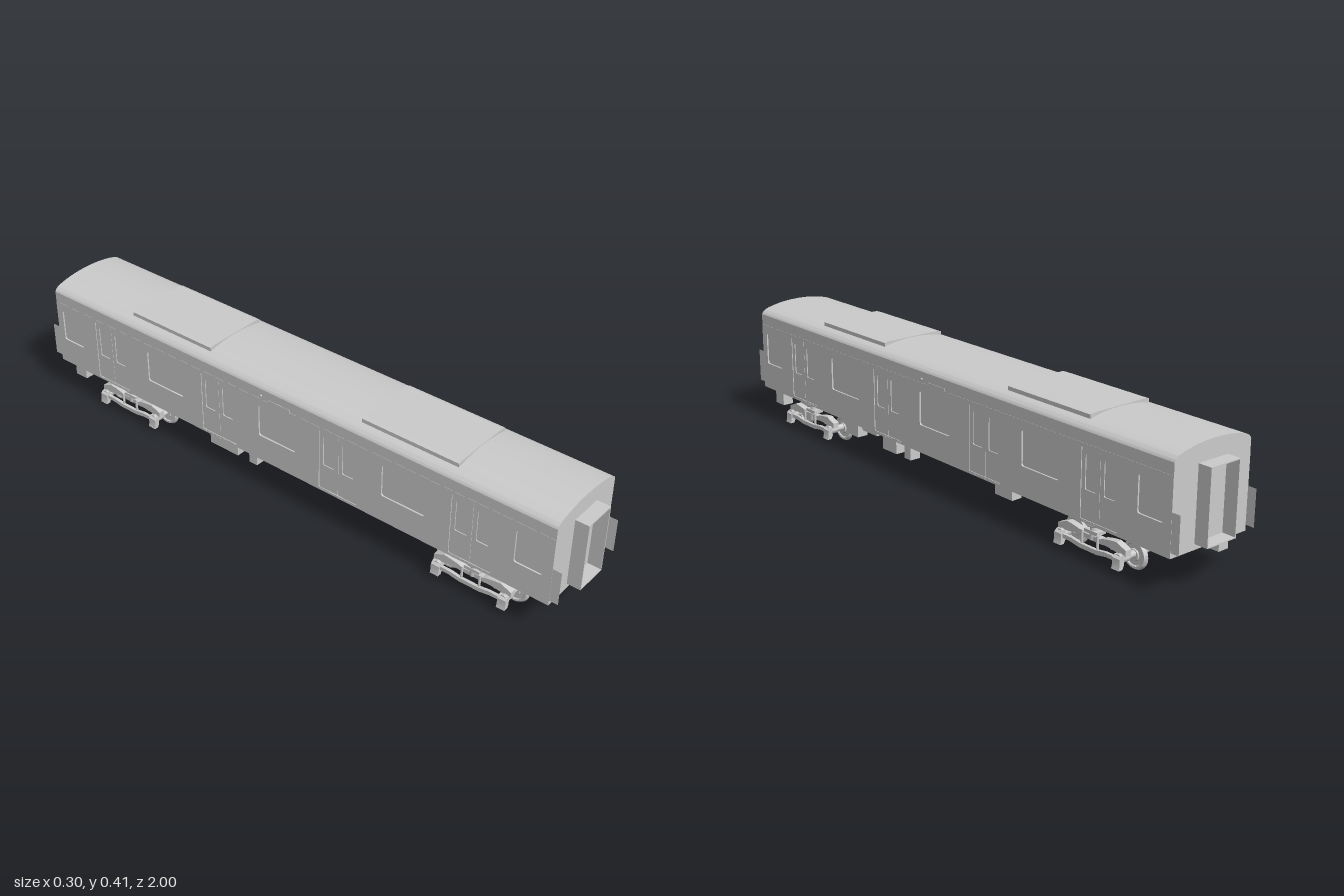
import * as THREE from 'three';
import { toCreasedNormals } from 'three/addons/utils/BufferGeometryUtils.js';

const grey = new THREE.MeshStandardMaterial({ color: 0xcccccc });
const thin = new THREE.MeshStandardMaterial({ color: 0xcccccc, side: THREE.DoubleSide });

function add(parent, name, geometry, material = grey) {
  const mesh = new THREE.Mesh(geometry, material);
  mesh.name = name;
  parent.add(mesh);
}

// Box given by its limits on each axis
function box(x0, x1, y0, y1, z0, z1) {
  return new THREE.BoxGeometry(x1 - x0, y1 - y0, z1 - z0)
    .translate((x0 + x1) / 2, (y0 + y1) / 2, (z0 + z1) / 2);
}

const vectors = (points) => points.map(([a, b]) => new THREE.Vector2(a, b));
const polygon = (points) => new THREE.Shape(vectors(points));
const extrude = (shape, depth) => new THREE.ExtrudeGeometry(shape, { depth, bevelEnabled: false, curveSegments: 10 });

// Outline in (z, y), extruded between two x positions
const slab = (shape, x0, x1) => extrude(shape, x1 - x0).rotateY(-Math.PI / 2).translate(x1, 0, 0);

// Outline in (x, y), extruded between two z positions
const section = (shape, z0, z1) => toCreasedNormals(extrude(shape, z1 - z0).translate(0, 0, z0), 0.4);

// Rectangle with rounded corners
function roundedRect(path, a0, a1, b0, b1, r) {
  path.moveTo(a0 + r, b0);
  path.lineTo(a1 - r, b0);
  path.quadraticCurveTo(a1, b0, a1, b0 + r);
  path.lineTo(a1, b1 - r);
  path.quadraticCurveTo(a1, b1, a1 - r, b1);
  path.lineTo(a0 + r, b1);
  path.quadraticCurveTo(a0, b1, a0, b1 - r);
  path.lineTo(a0, b0 + r);
  path.quadraticCurveTo(a0, b0, a0 + r, b0);
  return path;
}

// Body core with the curved roof
function makeBody() {
  const s = new THREE.Shape();
  s.moveTo(-0.14, 0.118);
  s.lineTo(0.14, 0.118);
  s.lineTo(0.14, 0.342);
  s.lineTo(0.1445, 0.342);
  s.lineTo(0.1445, 0.377);
  s.quadraticCurveTo(0.14, 0.388, 0.125, 0.394);
  s.quadraticCurveTo(0.07, 0.411, 0, 0.411);
  s.quadraticCurveTo(-0.07, 0.411, -0.125, 0.394);
  s.quadraticCurveTo(-0.14, 0.388, -0.1445, 0.377);
  s.lineTo(-0.1445, 0.342);
  s.lineTo(-0.14, 0.342);
  s.closePath();
  return section(s, -0.957, 0.957);
}

// One side wall with windows, sliding doors and small fittings
function makeSide() {
  const side = new THREE.Group();
  side.name = 'sideWall';
  const skin = polygon([[-0.957, 0.118], [0.957, 0.118], [0.957, 0.342], [-0.957, 0.342]]);
  const windows = [[0.886, 0.045], [0.463, 0.076], [0, 0.072], [-0.467, 0.076], [-0.883, 0.045]];
  for (const [z, half] of windows) {
    skin.holes.push(roundedRect(new THREE.Path(), z - half, z + half, 0.207, 0.315, 0.008));
  }
  for (const z of [0.703, 0.235, -0.233, -0.7]) {
    skin.holes.push(roundedRect(new THREE.Path(), z - 0.071, z + 0.071, 0.127, 0.332, 0.004));
    for (const dir of [-1, 1]) {
      const c = z + dir * 0.0355;
      const leaf = roundedRect(new THREE.Shape(), c - 0.035, c + 0.035, 0.127, 0.332, 0.002);
      leaf.holes.push(roundedRect(new THREE.Path(), c - 0.021, c + 0.021, 0.212, 0.315, 0.006));
      add(side, 'doorLeaf', slab(leaf, 0.139, 0.143));
    }
    // Row of small studs below the doors
    for (let i = -4; i <= 4; i++) {
      add(side, 'sillStud', box(0.144, 0.146, 0.121, 0.124, z + i * 0.015 - 0.003, z + i * 0.015 + 0.003));
    }
  }
  add(side, 'sideSkin', slab(skin, 0.139, 0.1452));
  add(side, 'indicator', box(0.144, 0.146, 0.338, 0.35, -0.05, 0.03));
  add(side, 'signalLamp', new THREE.SphereGeometry(0.004, 12, 8).translate(0.1445, 0.354, 0.06));
  // Thin guard plates reaching past both ends
  for (const dir of [-1, 1]) {
    const plate = new THREE.PlaneGeometry(0.03, 0.11).rotateY(Math.PI / 2);
    add(side, 'cornerPlate', plate.translate(0.1445, 0.19, dir * 0.97), thin);
  }
  return side;
}

// Running gear of one side of a bogie, on +x, centred on z = 0
function makeBogieSide() {
  const g = new THREE.Group();
  g.name = 'bogieSide';
  // Swan-neck side frame
  const frame = new THREE.Shape();
  frame.moveTo(-0.13, 0.058);
  frame.lineTo(-0.09, 0.062);
  frame.quadraticCurveTo(-0.06, 0.068, -0.04, 0.064);
  frame.lineTo(0.04, 0.064);
  frame.quadraticCurveTo(0.06, 0.068, 0.09, 0.062);
  frame.lineTo(0.13, 0.058);
  frame.lineTo(0.13, 0.076);
  frame.lineTo(0.095, 0.09);
  frame.quadraticCurveTo(0.05, 0.086, 0.035, 0.078);
  frame.lineTo(-0.035, 0.078);
  frame.quadraticCurveTo(-0.05, 0.086, -0.095, 0.09);
  frame.lineTo(-0.13, 0.076);
  frame.closePath();
  add(g, 'sideFrame', slab(frame, 0.104, 0.125));
  const bar = polygon([[-0.11, 0.042], [-0.07, 0.042], [-0.035, 0.036], [0.035, 0.036], [0.07, 0.042],
    [0.11, 0.042], [0.11, 0.054], [0.065, 0.054], [0.03, 0.049], [-0.03, 0.049], [-0.065, 0.054], [-0.11, 0.054]]);
  add(g, 'lowerBeam', slab(bar, 0.128, 0.138));
  // Air spring and bolster end
  const spring = vectors([[0, 0.1], [0.018, 0.104], [0.026, 0.106], [0.03, 0.111], [0.028, 0.117], [0, 0.118]]);
  add(g, 'airSpring', new THREE.LatheGeometry(spring, 24).translate(0.11, 0, 0));
  add(g, 'springPost', new THREE.CylinderGeometry(0.011, 0.014, 0.04, 16).translate(0.114, 0.085, 0));
  add(g, 'bolsterEnd', box(0.095, 0.128, 0.083, 0.093, -0.025, 0.025));
  for (const dir of [-1, 1]) {
    const z = dir * 0.1125;
    add(g, 'axleBox', new THREE.CylinderGeometry(0.014, 0.014, 0.034, 12).rotateZ(Math.PI / 2).translate(0.119, 0.05, z));
    // Cover flaring out towards its foot
    const cover = polygon([[0.126, 0.062], [0.126, 0.034], [0.132, 0.022], [0.146, 0.022], [0.143, 0.034], [0.143, 0.054], [0.134, 0.062]]);
    add(g, 'axleBoxCover', section(cover, z - 0.014, z + 0.014));
    add(g, 'coilSpring', new THREE.CylinderGeometry(0.009, 0.009, 0.025, 12).translate(0.115, 0.074, dir * 0.075));
    add(g, 'damper', new THREE.CylinderGeometry(0.004, 0.004, 0.045, 8).translate(0.13, 0.065, dir * 0.03));
  }
  return g;
}

function makeBogie(z) {
  const bogie = new THREE.Group();
  bogie.name = 'bogie';
  const left = makeBogieSide();
  const right = makeBogieSide();
  right.rotation.y = Math.PI;
  bogie.add(left, right);
  // Wheel profile with a coned tread, widest at the inner face
  const profile = vectors([[0.008, -0.005], [0.044, -0.005], [0.044, -0.002], [0.039, 0.006], [0.033, 0.006], [0.03, 0.002], [0.018, 0.002], [0.016, 0.006], [0.008, 0.006]]);
  for (const az of [-0.1125, 0.1125]) {
    add(bogie, 'axle', new THREE.CylinderGeometry(0.0105, 0.0105, 0.25, 16).rotateZ(Math.PI / 2).translate(0, 0.05, az));
    for (const dir of [-1, 1]) {
      const wheel = toCreasedNormals(new THREE.LatheGeometry(profile, 24), 0.5).rotateZ(-dir * Math.PI / 2);
      add(bogie, 'wheel', wheel.translate(dir * 0.071, 0.046, az));
    }
  }
  bogie.position.z = z;
  return bogie;
}

export function createModel() {
  const model = new THREE.Group();
  model.name = 'railCarriage';
  add(model, 'body', makeBody());

  const left = makeSide();
  const right = makeSide();
  right.rotation.y = Math.PI;
  model.add(left, right);

  // Flat roof units with bevelled edges
  const cover = polygon([[-0.111, 0.39], [0.111, 0.39], [0.111, 0.41], [0.1, 0.4135], [-0.1, 0.4135], [-0.111, 0.41]]);
  for (const z of [0.29, -0.625]) add(model, 'roofUnit', extrude(cover, 0.333).translate(0, 0, z));

  // Open gangway frames at both ends
  const gangway = polygon([[-0.055, 0.135], [0.055, 0.135], [0.055, 0.355], [-0.055, 0.355]]);
  gangway.holes.push(new THREE.Path(vectors([[-0.052, 0.138], [-0.052, 0.352], [0.052, 0.352], [0.052, 0.138]])));
  for (const z of [0.955, -1]) add(model, 'gangway', extrude(gangway, 0.045).translate(0, 0, z));

  // Underfloor equipment: side, z range, bottom height
  const cases = [[1, 0.88, 0.927, 0.062], [-1, -0.922, -0.873, 0.062], [1, 0.435, 0.5, 0.063],
    [1, 0.33, 0.41, 0.095], [1, 0.227, 0.297, 0.063], [1, 0.153, 0.185, 0.063],
    [1, -0.325, -0.25, 0.075], [-1, -0.137, -0.105, 0.063], [-1, -0.3, -0.185, 0.063]];
  for (const [s, z0, z1, y] of cases) {
    add(model, 'equipmentCase', box(s * 0.102 - 0.0185, s * 0.102 + 0.0185, y, 0.119, z0, z1));
  }

  model.add(makeBogie(0.7), makeBogie(-0.654));
  return model;
}
